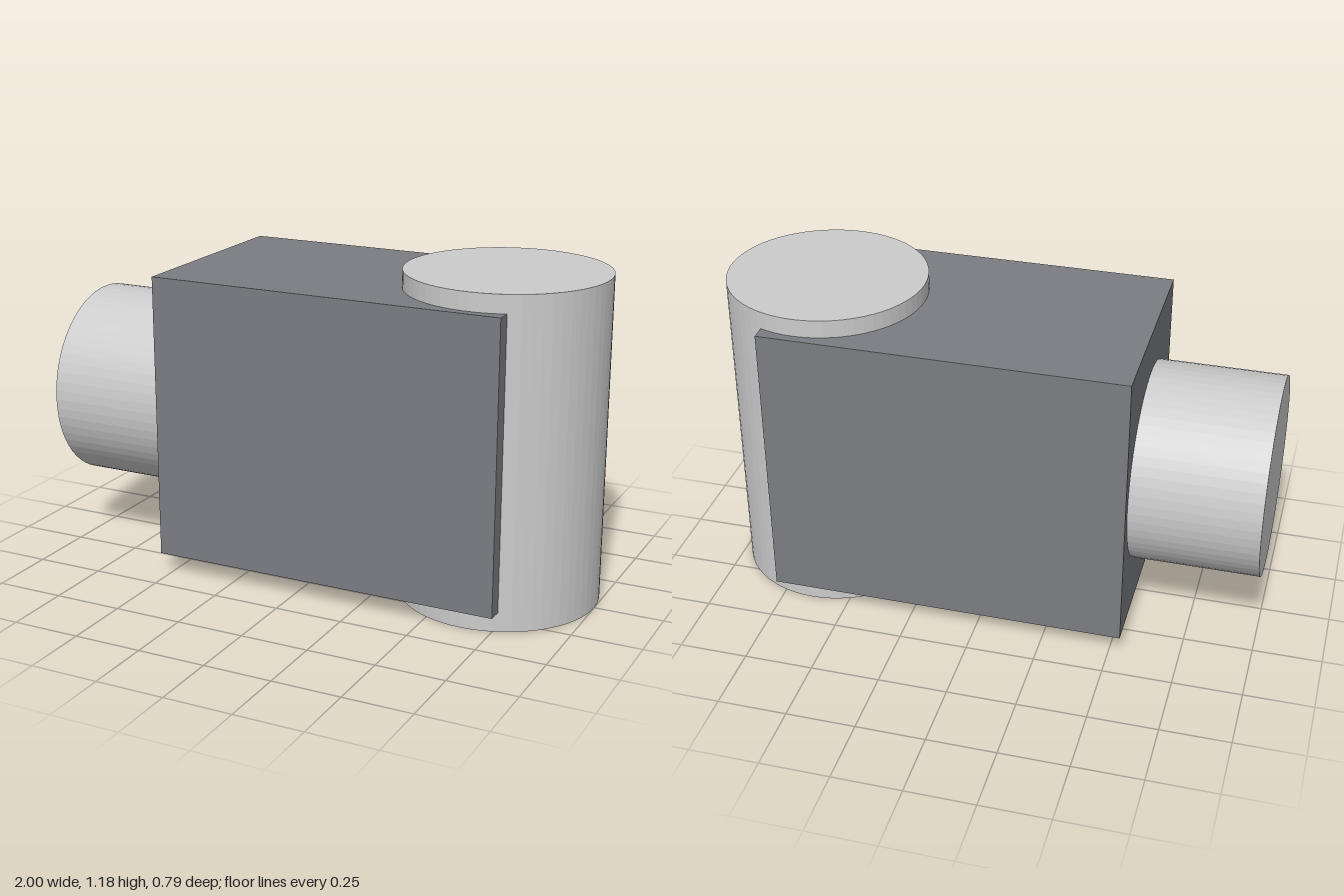
import * as THREE from 'three';

const RADIUS = 0.36;
const MID_Y = 0.59;

export function createModel() {
  const group = new THREE.Group();
  const lightGrey = new THREE.MeshStandardMaterial({ color: 0xcccccc, flatShading: true });
  const darkGrey = new THREE.MeshStandardMaterial({ color: 0x7b7d82 });

  const add = (name, geometry, material, x, y) => {
    const mesh = new THREE.Mesh(geometry, material);
    mesh.name = name;
    mesh.position.set(x, y, 0);
    group.add(mesh);
    return mesh;
  };

  // Central block joining the two cylinders
  add('housingBlock', new THREE.BoxGeometry(1.306, 1.044, 0.786), darkGrey, 0.113, 0.593);

  // Upright cylinder, standing proud of the block above, below and at the end
  add('uprightCylinder', new THREE.CylinderGeometry(RADIUS, RADIUS, 1.18, 64), lightGrey, 0.64, MID_Y);

  // Horizontal stub, seated slightly into the block
  const stub = add('horizontalStub', new THREE.CylinderGeometry(RADIUS, RADIUS, 0.5, 64), lightGrey, -0.75, 0.593);
  stub.rotation.z = Math.PI / 2;

  return group;
}
